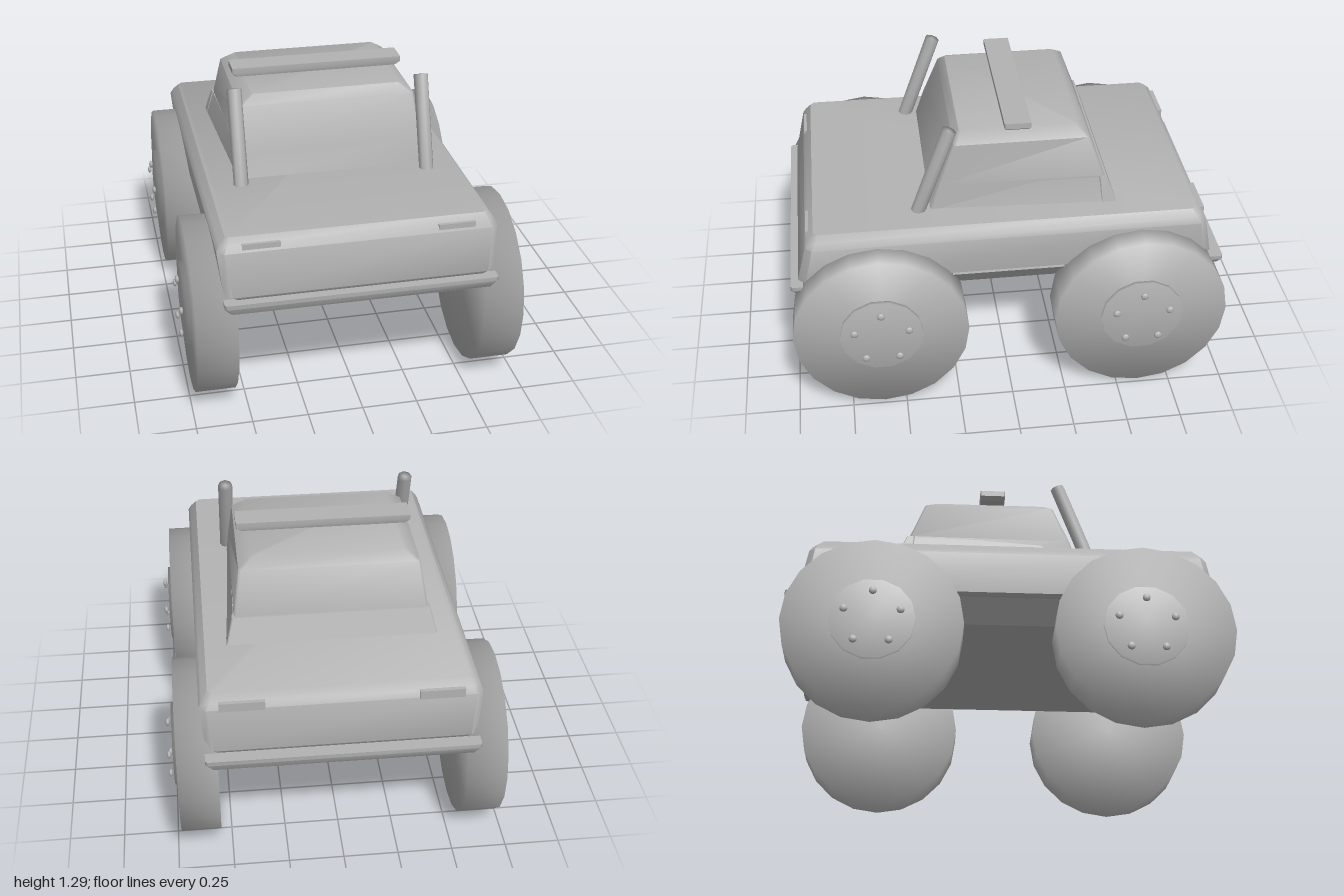
import * as THREE from 'three';
import { mergeVertices, toCreasedNormals } from 'three/addons/utils/BufferGeometryUtils.js';

// Stack of chamfered rectangles; each ring is [y, halfWidthFront, halfWidthBack, zFront, zBack, chamfer]
function loft(rings, crease) {
  const pos = [], idx = [], n = 8;
  for (const [y, f, b, zf, zb, c] of rings) {
    const ring = [[-f + c, zf], [f - c, zf], [f, zf - c], [b, zb + c],
      [b - c, zb], [-b + c, zb], [-b, zb + c], [-f, zf - c]];
    for (const [x, z] of ring) pos.push(x, y, z);
  }
  const top = (rings.length - 1) * n;
  for (let r = 0; r < top; r += n) {
    for (let i = 0; i < n; i++) {
      const j = (i + 1) % n;
      idx.push(r + i, r + j, r + n + j, r + i, r + n + j, r + n + i);
    }
  }
  for (let i = 1; i < n - 1; i++) {
    idx.push(top, top + i, top + i + 1, 0, i + 1, i);
  }
  const g = new THREE.BufferGeometry();
  g.setAttribute('position', new THREE.Float32BufferAttribute(pos, 3));
  g.setIndex(idx);
  return toCreasedNormals(g, crease);
}

// Cylinder whose caps and side share smooth normals
function softCylinder(radius, length, sides) {
  let g = new THREE.CylinderGeometry(radius, radius, length, sides);
  g.deleteAttribute('normal');
  g.deleteAttribute('uv');
  g = mergeVertices(g);
  g.computeVertexNormals();
  return g;
}

export function createModel() {
  const model = new THREE.Group();
  const gray = new THREE.MeshStandardMaterial({ color: 0xb2b2b2 });
  gray.name = 'gray';

  function add(parent, name, geometry, x = 0, y = 0, z = 0) {
    const mesh = new THREE.Mesh(geometry, gray);
    mesh.name = name;
    mesh.position.set(x, y, z);
    parent.add(mesh);
    return mesh;
  }

  // Main body tub
  add(model, 'body', loft([
    [0.595, 0.56, 0.56, 0.945, -0.93, 0.03],
    [0.62, 0.6, 0.6, 0.96, -0.945, 0.035],
    [0.81, 0.62, 0.62, 0.915, -0.905, 0.03],
    [0.84, 0.605, 0.605, 0.9, -0.89, 0.03],
    [0.87, 0.58, 0.58, 0.875, -0.86, 0.02],
  ], 0.8));

  // Tapered floor pan
  add(model, 'floorPan', loft([
    [0.5, 0.51, 0.51, 0.9, -0.9, 0.01],
    [0.6, 0.59, 0.59, 0.94, -0.93, 0.01],
  ], 0.6));

  // Cabin
  add(model, 'cabin', loft([
    [0.865, 0.44, 0.45, 0.345, -0.49, 0.01],
    [0.99, 0.43, 0.44, 0.305, -0.455, 0.01],
    [1.18, 0.41, 0.41, 0.23, -0.385, 0.01],
    [1.225, 0.35, 0.35, 0.2, -0.335, 0.01],
  ], 0.8));

  // Flared panel at the foot of the cabin's back
  add(model, 'rearPanel', loft([
    [0.865, 0.48, 0.48, -0.44, -0.51, 0.005],
    [0.985, 0.45, 0.45, -0.43, -0.466, 0.005],
  ], 0.5));

  // Flared lower cabin sides, narrowing to the front
  add(model, 'cabinSills', loft([
    [0.865, 0.44, 0.48, 0.335, -0.5, 0.005],
    [0.98, 0.425, 0.445, 0.3, -0.455, 0.005],
  ], 0.5));

  // Roof bar
  add(model, 'roofBar', loft([
    [1.23, 0.385, 0.385, -0.005, -0.115, 0.005],
    [1.245, 0.405, 0.405, 0, -0.12, 0.005],
    [1.272, 0.405, 0.405, 0, -0.12, 0.005],
  ], 0.6));

  // Bumpers
  for (const [name, front, back] of [['frontBumper', 0.995, 0.93], ['rearBumper', -0.93, -1]]) {
    add(model, name, loft([
      [0.555, 0.58, 0.58, front - 0.01, back + 0.01, 0.01],
      [0.585, 0.605, 0.605, front, back, 0.01],
      [0.605, 0.605, 0.605, front, back, 0.01],
    ], 0.8));
  }

  const tire = softCylinder(0.4, 0.18, 20);
  const hub = softCylinder(0.19, 0.03, 14);
  const bolt = new THREE.SphereGeometry(0.018, 10, 8);
  const post = softCylinder(0.034, 0.44, 8);

  for (const side of [1, -1]) {
    const label = side > 0 ? 'left' : 'right';

    // Wheels with hub plate and five bolts
    for (const end of [1, -1]) {
      const wheel = new THREE.Group();
      wheel.name = label + (end > 0 ? 'Front' : 'Rear') + 'Wheel';
      wheel.position.set(0, 0.4, end * 0.6);
      add(wheel, 'tire', tire, side * 0.64).rotation.z = Math.PI / 2;
      add(wheel, 'hub', hub, side * 0.733, 0.005).rotation.z = Math.PI / 2;
      for (let i = 0; i < 5; i++) {
        const a = i * Math.PI * 2 / 5;
        add(wheel, 'bolt', bolt, side * 0.766, 0.13 * Math.cos(a), 0.13 * Math.sin(a)).scale.x = 0.55;
      }
      model.add(wheel);
    }

    // Leaning windshield posts
    add(model, label + 'Post', post, side * 0.435, 1.07, 0.325).rotation.x = -0.345;

    // Lights
    add(model, label + 'Headlight', new THREE.BoxGeometry(0.165, 0.03, 0.04), side * 0.43, 0.83, 0.89);
    add(model, label + 'TailLight', new THREE.BoxGeometry(0.2, 0.045, 0.05), side * 0.435, 0.82, -0.882);
  }
  return model;
}
